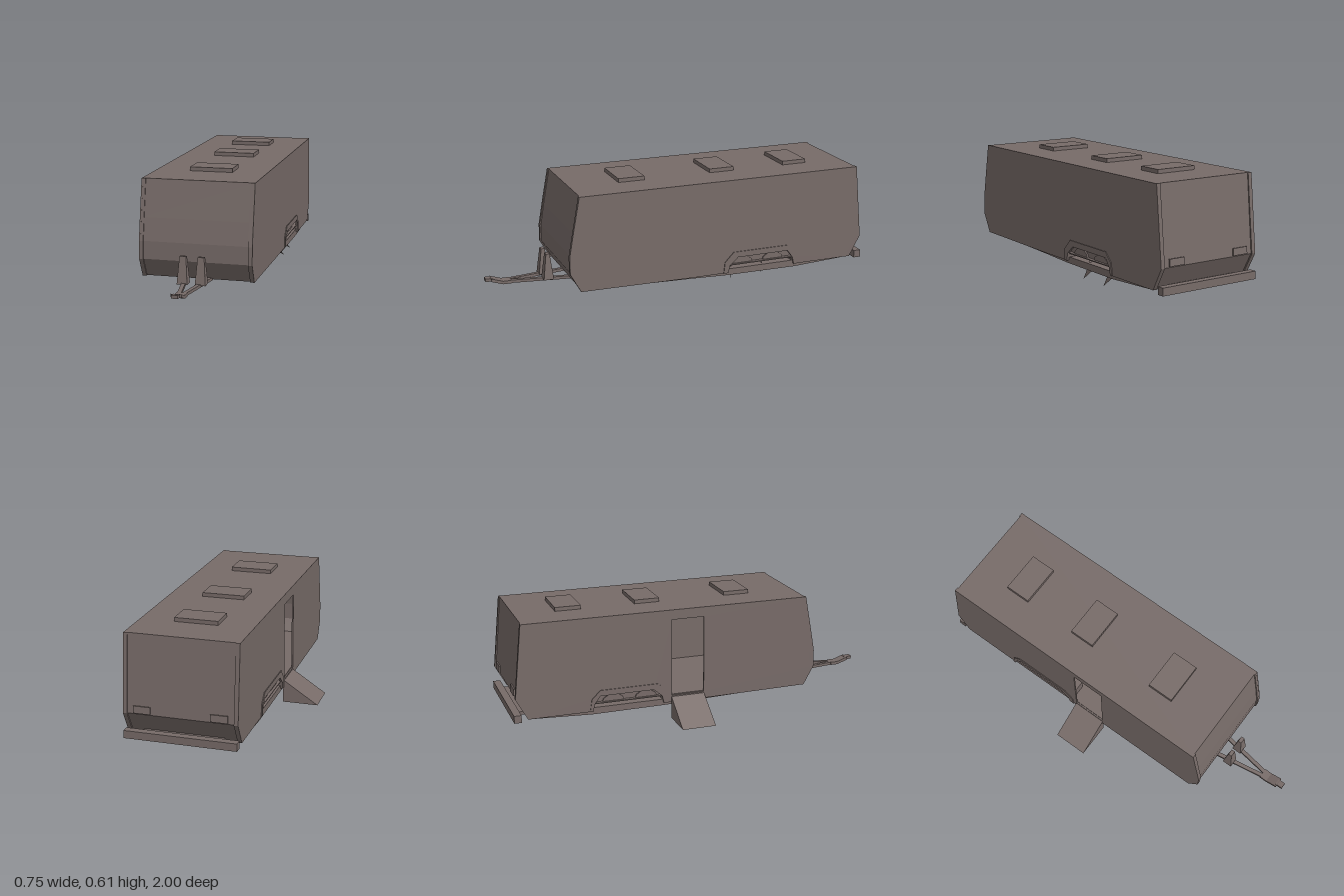
import * as THREE from 'three';

export function createModel() {
  const root = new THREE.Group();
  root.name = 'campingTrailer';
  const paint = new THREE.MeshStandardMaterial({ color: 0x776b68 });
  paint.name = 'warm grey';
  const CX = 0.088, HALF = 0.283, WALL = 0.008;

  const add = (name, geo) => {
    const mesh = new THREE.Mesh(geo, paint);
    mesh.name = name;
    root.add(mesh);
    return mesh;
  };
  const flat = (geo) => {
    const g = geo.index ? geo.toNonIndexed() : geo;
    g.computeVertexNormals();
    return g;
  };
  const box = (name, x0, x1, y0, y1, z0, z1) => {
    const m = add(name, new THREE.BoxGeometry(x1 - x0, y1 - y0, z1 - z0));
    m.position.set((x0 + x1) / 2, (y0 + y1) / 2, (z0 + z1) / 2);
    return m;
  };
  // Side profiles are lists of [z, y], extruded across the width from x0 to x1
  const toPoints = (list) => list.map(([z, y]) => new THREE.Vector2(-z, y));
  const across = (name, list, x0, x1, holes = []) => {
    const shape = new THREE.Shape(toPoints(list));
    holes.forEach((h) => shape.holes.push(new THREE.Path(toPoints(h))));
    const geo = new THREE.ExtrudeGeometry(shape, { depth: x1 - x0, bevelEnabled: false });
    geo.rotateY(Math.PI / 2).translate(x0, 0, 0);
    return add(name, geo);
  };
  // Horizontal beam between two points
  const beam = (name, a, b, w, h) => {
    const from = new THREE.Vector3(...a), to = new THREE.Vector3(...b);
    const m = add(name, new THREE.BoxGeometry(w, h, from.distanceTo(to)));
    m.position.copy(from).add(to).multiplyScalar(0.5);
    m.lookAt(to);
    return m;
  };

  // Hollow shell: roof, front, rear and floor, with a slot over the axles
  across('shell', [
    [0.575, 0.587], [0.61, 0.4], [0.628, 0.285], [0.628, 0.195], [0.575, 0.1],
    [0, 0.083], [-0.2, 0.075], [-0.6, 0.072], [-0.92, 0.088], [-0.983, 0.2], [-0.945, 0.587],
  ], CX - HALF + WALL, CX + HALF - WALL, [
    [[0.565, 0.577], [0.615, 0.285], [0.615, 0.195], [0.57, 0.13], [-0.93, 0.13], [-0.97, 0.2], [-0.935, 0.577]],
    [[-0.22, 0.108], [-0.22, 0.125], [-0.585, 0.125], [-0.585, 0.108]],
  ]);

  // Side walls with wheel openings; the doorway is on the -x side
  const wall = [
    [0.58, 0.587], [0.615, 0.4], [0.635, 0.285], [0.635, 0.195], [0.58, 0.097], [0, 0.09],
    [-0.215, 0.09], [-0.225, 0.13], [-0.27, 0.17], [-0.555, 0.17], [-0.585, 0.13], [-0.595, 0.09],
    [-0.93, 0.09], [-0.99, 0.2], [-0.95, 0.587],
  ];
  const doorway = [[0.005, 0.125], [0.005, 0.535], [-0.17, 0.535], [-0.17, 0.125]];
  across('leftWall', wall, CX + HALF - WALL, CX + HALF);
  across('rightWall', wall, CX - HALF, CX - HALF + WALL, [doorway]);

  // Raised corner lips, wheel arch trims, wheel wells and wheels on both sides
  const frontLip = [[0.58, 0.587], [0.635, 0.285], [0.635, 0.195], [0.58, 0.097],
    [0.56, 0.12], [0.61, 0.2], [0.61, 0.285], [0.56, 0.587]];
  const rearLip = [[-0.95, 0.587], [-0.99, 0.2], [-0.93, 0.09],
    [-0.91, 0.11], [-0.965, 0.2], [-0.93, 0.587]];
  const archTrim = [
    [-0.19, 0.09], [-0.197, 0.15], [-0.245, 0.2], [-0.555, 0.2], [-0.6, 0.155], [-0.61, 0.09],
    [-0.595, 0.09], [-0.585, 0.13], [-0.555, 0.17], [-0.27, 0.17], [-0.225, 0.13], [-0.215, 0.09],
  ];
  for (const s of [-1, 1]) {
    const side = s > 0 ? 'left' : 'right';
    const span = (name, list, inner, outer) => across(side + name, list,
      Math.min(CX + s * inner, CX + s * outer), Math.max(CX + s * inner, CX + s * outer));
    span('FrontLip', frontLip, 0.262, HALF);
    span('RearLip', rearLip, 0.262, HALF);
    span('ArchTrim', archTrim, 0.276, HALF + 0.004);
    const inner = CX + s * 0.19, outer = CX + s * 0.255;
    box(side + 'WheelWell', Math.min(inner, outer), Math.max(inner, outer), 0.125, 0.2, -0.605, -0.2);

    // Tapered lower wheel halves and the tops tucked into the wells
    for (const [z, tag] of [[-0.305, 'Front'], [-0.48, 'Rear']]) {
      const lower = new THREE.CylinderGeometry(0.098, 0.065, 0.06, 5, 1, 0, Math.PI);
      lower.rotateZ(-Math.PI / 2);
      if (s < 0) lower.rotateY(Math.PI);
      const p = lower.attributes.position;
      // Narrow the wheel lengthwise
      for (let i = 0; i < p.count; i++) {
        p.setZ(i, p.getZ(i) * 0.8);
      }
      lower.computeBoundingBox();
      // Make sure the round half hangs downwards
      if (lower.boundingBox.max.y > 0.01 && lower.boundingBox.min.y > -0.01) lower.rotateX(Math.PI);
      const wheel = add(side + tag + 'Wheel', flat(lower));
      wheel.position.set(CX + s * 0.232, 0.108, z);

      const top = [];
      for (let i = 0; i <= 6; i++) {
        const a = (i / 6) * Math.PI;
        top.push([z + Math.cos(a) * 0.06, 0.125 + Math.sin(a) * 0.04]);
      }
      span(tag + 'WheelTop', top, 0.2, 0.262);
    }

    // Tapered chassis rail
    const rail = CX + s * 0.167;
    across(side + 'Rail', [[0.5, 0.1], [-0.15, 0.066], [-0.65, 0.063], [-0.95, 0.09], [-0.6, 0.1]],
      rail - 0.022, rail + 0.022);

    // Tail light plate following the rear slope
    const light = add(side + 'TailLight', new THREE.BoxGeometry(0.085, 0.035, 0.009));
    light.position.set(CX + s * 0.19, 0.222, -0.984);
    light.rotation.x = 0.1;

    // Drawbar leg and tapered jack
    beam(side + 'DrawbarLeg', [CX + s * 0.062, 0.1, 0.56], [CX + s * 0.008, 0.1, 0.9], 0.02, 0.015);
    const jack = new THREE.CylinderGeometry(0.0226, 0.037, 0.135, 4);
    jack.rotateY(Math.PI / 4);
    const jp = jack.attributes.position;
    for (let i = 0; i < jp.count; i++) {
      if (jp.getY(i) > 0) jp.setZ(i, jp.getZ(i) * 0.6);
    }
    const post = add(side + 'Jack', flat(jack));
    post.position.set(CX + s * 0.045, 0.168, 0.685);
  }

  // Tow hitch: rising pointed tongue
  across('hitchNeck', [[0.87, 0.092], [0.91, 0.092], [0.97, 0.112], [0.97, 0.128], [0.91, 0.108], [0.87, 0.108]],
    CX - 0.026, CX + 0.026);
  across('hitchTip', [[0.96, 0.11], [1, 0.114], [1, 0.13], [0.96, 0.126]], CX - 0.016, CX + 0.016);

  // Roof vents
  [[0.18, 0.32], [-0.315, -0.18], [-0.735, -0.6]].forEach(([z0, z1], i) =>
    box('roofVent' + (i + 1), -0.021, 0.198, 0.58, 0.607, z0, z1));

  // Rear bumper
  box('rearBumper', CX - 0.28, CX + 0.28, 0.076, 0.115, -1, -0.962);
  box('bumperMount', CX - 0.2, CX + 0.2, 0.088, 0.105, -0.97, -0.9);

  // Entry ramp below the doorway
  const ramp = new THREE.Shape([
    new THREE.Vector2(-0.375, 0), new THREE.Vector2(-0.19, 0), new THREE.Vector2(-0.19, 0.122),
  ]);
  const rampGeo = new THREE.ExtrudeGeometry(ramp, { depth: 0.18, bevelEnabled: false });
  add('entryRamp', rampGeo.translate(0, 0, -0.173));

  return root;
}
